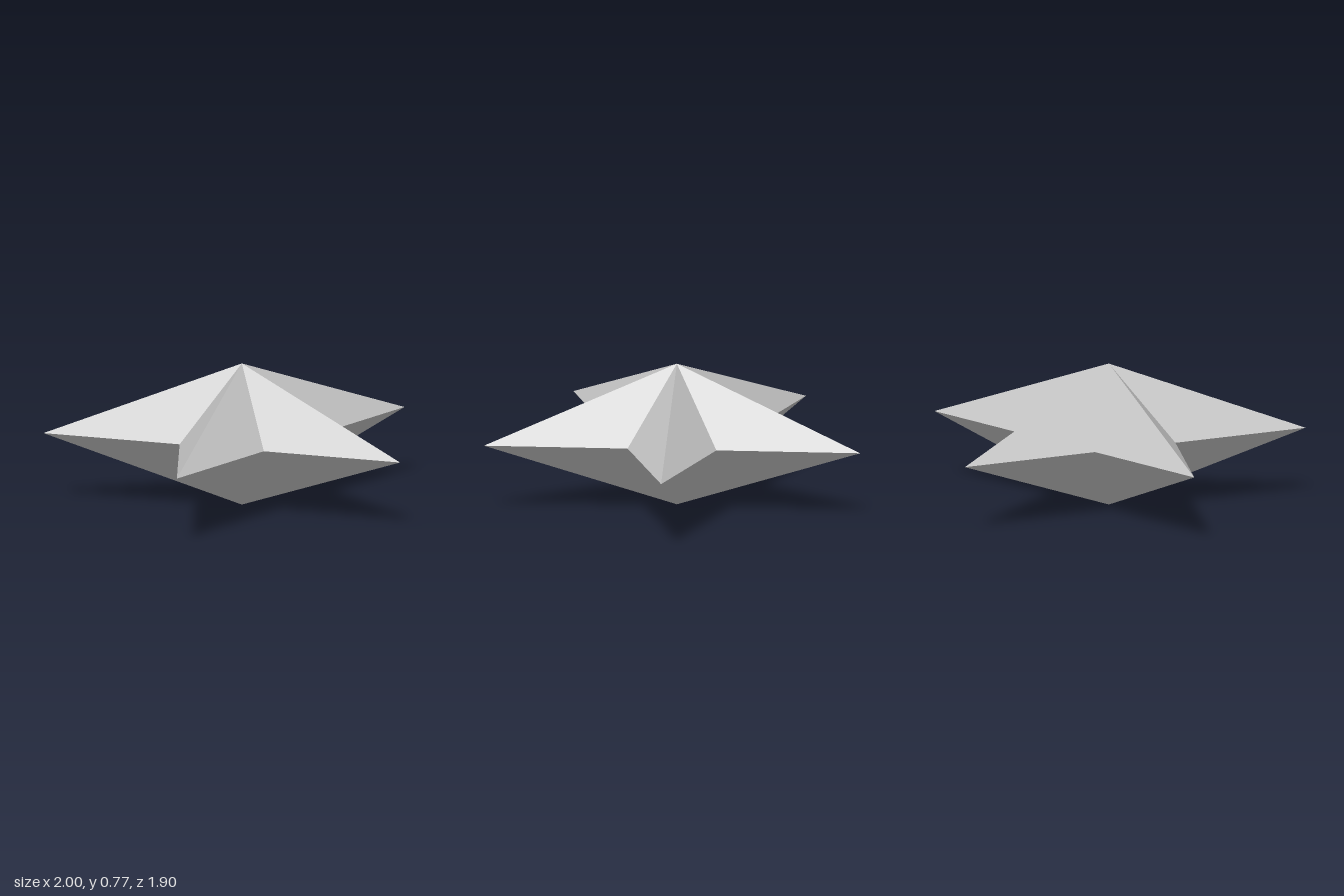
import * as THREE from 'three';

const POINTS = 5;
const OUTER = 1.0515, INNER = 0.4016; // tip and notch radii
const CENTRE_Z = 0.1004, MID_Y = 0.385, HALF_HEIGHT = 0.385;

// Rim point i: even ones are tips, odd ones are notches, starting at the back
function rimPoint(i) {
  const angle = (i * Math.PI) / POINTS;
  const radius = i % 2 === 0 ? OUTER : INNER;
  return [Math.sin(angle) * radius, 0, -Math.cos(angle) * radius];
}

// Faceted pyramid over the star outline; side is 1 for the top, -1 for the bottom
function starHalf(side) {
  const apex = [0, side * HALF_HEIGHT, 0];
  const positions = [];
  for (let i = 0; i < POINTS * 2; i++) {
    const a = rimPoint(i);
    const b = rimPoint((i + 1) % (POINTS * 2));
    positions.push(...apex, ...(side > 0 ? [...b, ...a] : [...a, ...b]));
  }
  const geometry = new THREE.BufferGeometry();
  geometry.setAttribute('position', new THREE.Float32BufferAttribute(positions, 3));
  geometry.computeVertexNormals();
  return geometry;
}

export function createModel() {
  const grey = new THREE.MeshStandardMaterial({ color: 0xc4c4c4 });
  grey.name = 'light grey';

  const star = new THREE.Group();
  star.name = 'star';
  for (const [name, side] of [['upperHalf', 1], ['lowerHalf', -1]]) {
    const half = new THREE.Mesh(starHalf(side), grey);
    half.name = name;
    half.position.set(0, MID_Y, CENTRE_Z);
    star.add(half);
  }
  return star;
}
